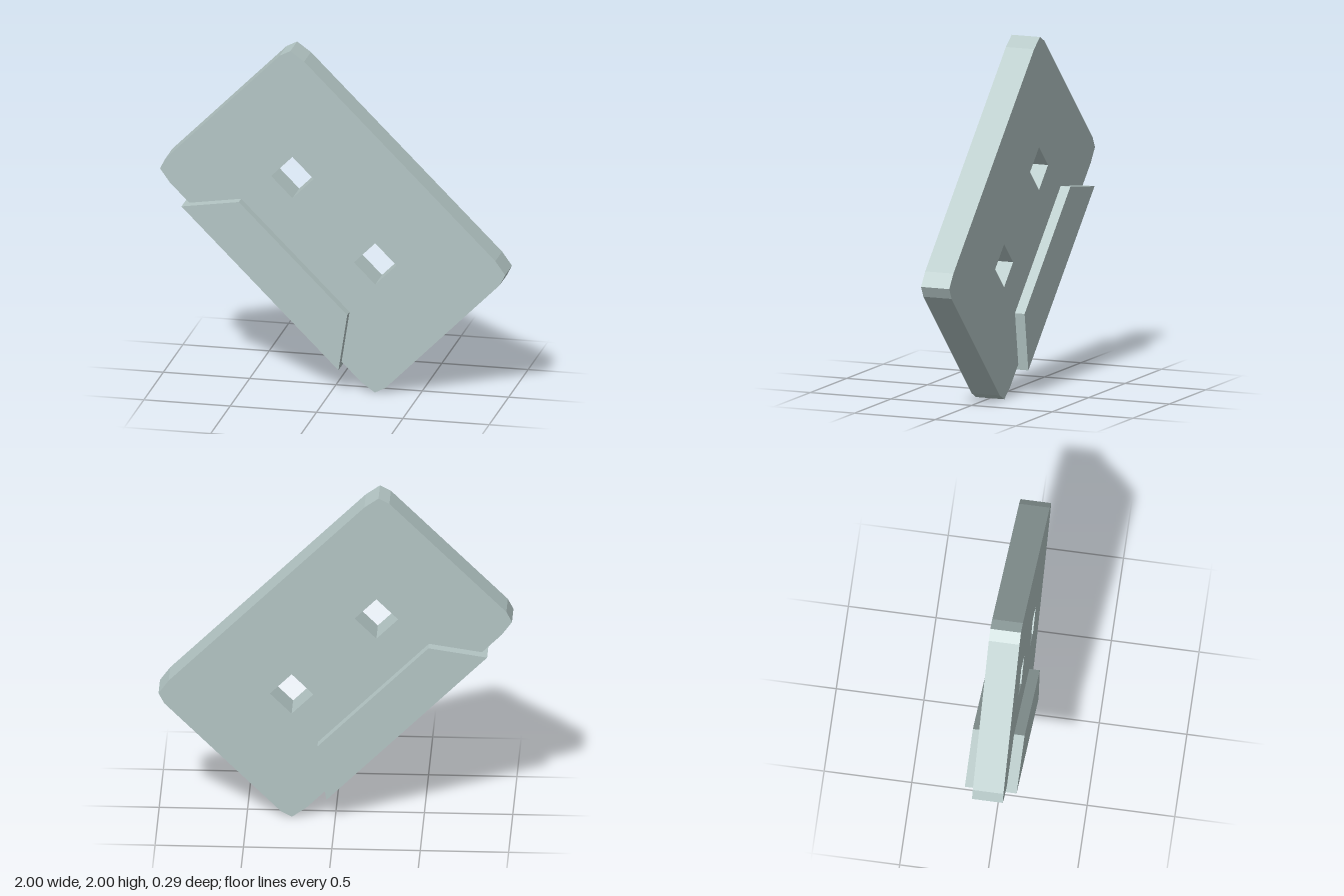
import * as THREE from 'three';

// Mirrors a right-hand half outline (listed bottom to top) into a closed one
function mirrored(half) {
  const left = half.map(([x, y]) => [-x, y]).reverse();
  return [...half, ...left].map(([x, y]) => new THREE.Vector2(x, y));
}

// Flat plate centred on z = 0
function plate(name, shape, depth, material) {
  const geometry = new THREE.ExtrudeGeometry(shape, { depth, bevelEnabled: false });
  geometry.translate(0, 0, -depth / 2);
  const mesh = new THREE.Mesh(geometry, material);
  mesh.name = name;
  return mesh;
}

export function createModel() {
  const shell = new THREE.MeshStandardMaterial({ color: 0xb4c6c5 });
  shell.name = 'pale grey green';

  // Main body with two-step chamfered corners
  const body = new THREE.Shape(mirrored([
    [0.783, -0.55], [0.88, -0.534], [0.901, -0.468],
    [0.901, 0.468], [0.88, 0.534], [0.783, 0.55],
  ]));

  // Square reel holes, cut right through
  const r = 0.087, holeY = 0.01;
  for (const x of [-0.339, 0.339]) {
    body.holes.push(new THREE.Path([
      new THREE.Vector2(x - r, holeY - r), new THREE.Vector2(x - r, holeY + r),
      new THREE.Vector2(x + r, holeY + r), new THREE.Vector2(x + r, holeY - r),
    ]));
  }

  // Thicker trapezoid along one long edge
  const edge = new THREE.Shape(mirrored([[0.643, -0.576], [0.444, -0.305]]));

  const cassette = new THREE.Group();
  cassette.name = 'cassette';
  cassette.add(plate('body', body, 0.175, shell), plate('raisedEdge', edge, 0.295, shell));

  // Stands tilted on one corner
  cassette.rotation.z = -Math.PI / 4;
  cassette.position.y = 1;

  const model = new THREE.Group();
  model.name = 'tiltedCassette';
  model.add(cassette);
  return model;
}
